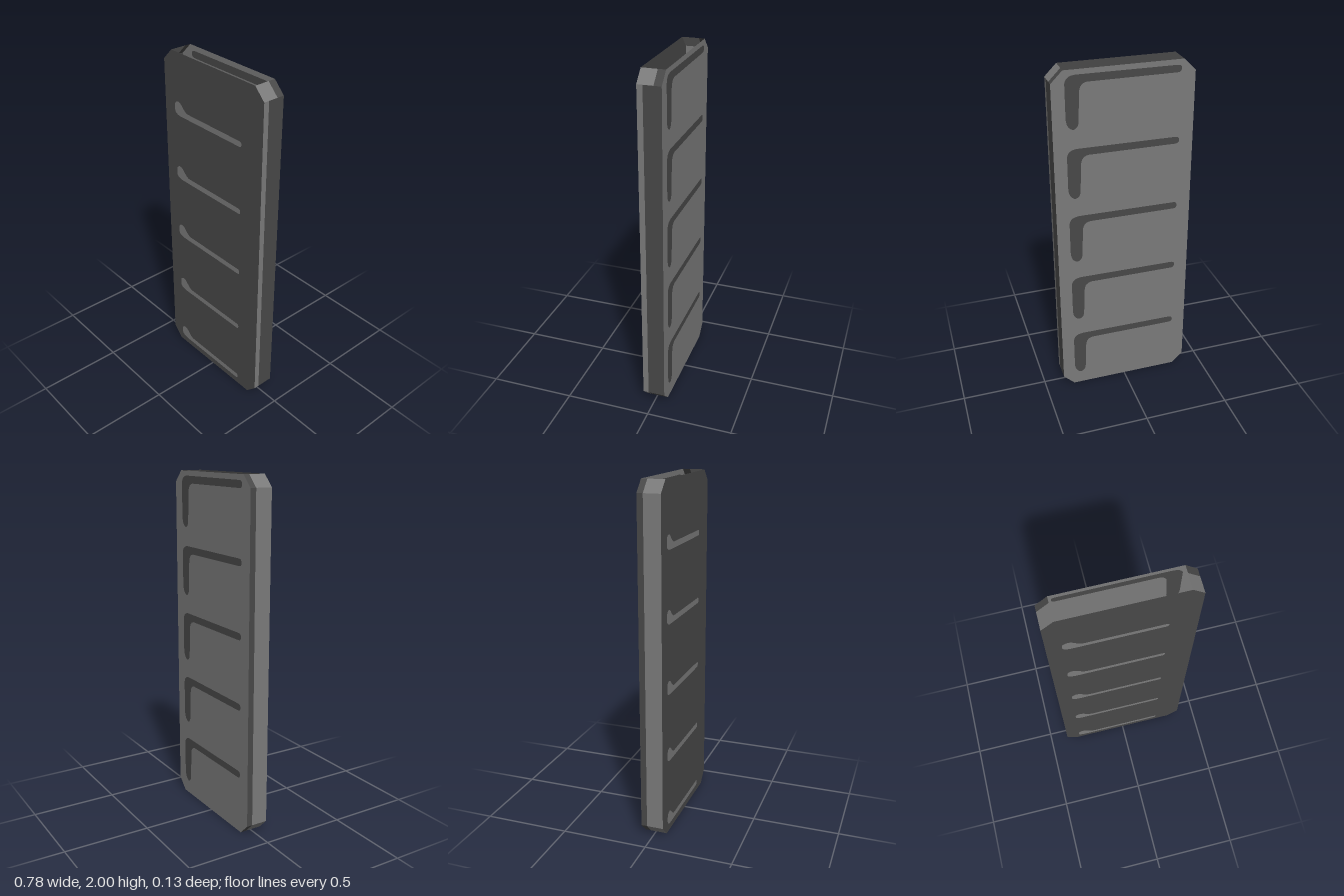
import * as THREE from 'three';

const W = 0.39, H = 2, CUT = 0.065, D = 0.065;

export function createModel() {
  const model = new THREE.Group();
  const dark = new THREE.MeshStandardMaterial({ color: 0x484848, side: THREE.DoubleSide });
  dark.name = 'charcoal';
  const light = new THREE.MeshStandardMaterial({ color: 0x7a7a7a, side: THREE.DoubleSide });
  light.name = 'mid grey';

  const add = (geometry, material, name, z = 0) => {
    const mesh = new THREE.Mesh(geometry, material);
    mesh.name = name;
    mesh.position.z = z;
    model.add(mesh);
  };

  // Octagonal outline, counter-clockwise from the lower right
  const outline = [
    [W - CUT, 0], [W, CUT], [W, H - CUT], [W - CUT, H],
    [-W + CUT, H], [-W, H - CUT], [-W, CUT], [-W + CUT, 0],
  ].map(([x, y]) => new THREE.Vector2(x, y));

  // Short hooked bar on the front, y is the centre of the bar
  const frontBar = (y, s = new THREE.Shape()) => {
    s.moveTo(-0.25, y - 0.018);
    s.lineTo(0.22, y - 0.018);
    s.quadraticCurveTo(0.235, y - 0.018, 0.235, y);
    s.quadraticCurveTo(0.235, y + 0.014, 0.22, y + 0.014);
    s.lineTo(-0.2, y + 0.015);
    s.quadraticCurveTo(-0.22, y + 0.018, -0.245, y + 0.045);
    s.quadraticCurveTo(-0.265, y + 0.068, -0.285, y + 0.064);
    s.quadraticCurveTo(-0.308, y + 0.055, -0.308, y + 0.035);
    s.lineTo(-0.308, y + 0.01);
    s.quadraticCurveTo(-0.305, y - 0.018, -0.25, y - 0.018);
    return s;
  };

  // Long bar with a hanging leg on the back
  const backBar = (y, s = new THREE.Shape()) => {
    s.moveTo(-0.29, y - 0.02);
    s.lineTo(0.2, y - 0.02);
    s.quadraticCurveTo(0.24, y - 0.025, 0.243, y - 0.07);
    s.lineTo(0.25, y - 0.23);
    s.quadraticCurveTo(0.252, y - 0.265, 0.28, y - 0.27);
    s.quadraticCurveTo(0.318, y - 0.26, 0.318, y - 0.2);
    s.lineTo(0.318, y - 0.02);
    s.quadraticCurveTo(0.312, y + 0.024, 0.25, y + 0.022);
    s.lineTo(-0.29, y + 0.02);
    s.quadraticCurveTo(-0.312, y + 0.02, -0.312, y);
    s.quadraticCurveTo(-0.312, y - 0.02, -0.29, y - 0.02);
    return s;
  };

  // Panels with flush inlays of the opposite colour
  const panel = (name, z, plateMat, inlayMat, bar, firstY) => {
    const plate = new THREE.Shape(outline);
    for (let i = 0; i < 5; i++) {
      const y = firstY + i * 0.4;
      plate.holes.push(bar(y, new THREE.Path()));
      add(new THREE.ShapeGeometry(bar(y), 6), inlayMat, name + 'Inlay', z);
    }
    add(new THREE.ShapeGeometry(plate, 6), plateMat, name + 'Panel', z);
  };
  panel('front', D, dark, light, frontBar, 0.055);
  panel('back', -D, light, dark, backBar, 0.35);

  // Side walls, split lengthwise in two colours; the top and bottom stay open
  const strip = (a, b, z0, z1, material, name) => {
    const g = new THREE.BufferGeometry();
    g.setAttribute('position', new THREE.Float32BufferAttribute(
      [a.x, a.y, z1, a.x, a.y, z0, b.x, b.y, z0, b.x, b.y, z1], 3));
    g.setIndex([0, 1, 2, 0, 2, 3]);
    g.computeVertexNormals();
    add(g, material, name);
  };
  const walls = [
    [0, 0.033, 'lowerLeftCorner'], [1, 0.033, 'leftWall'], [2, -0.023, 'upperLeftCorner'],
    [4, -0.031, 'upperRightCorner'], [5, -0.031, 'rightWall'], [6, -0.031, 'lowerRightCorner'],
  ];
  for (const [i, split, name] of walls) {
    strip(outline[i], outline[i + 1], split, D, light, name + 'Front');
    strip(outline[i], outline[i + 1], -D, split, dark, name + 'Back');
  }

  return model;
}
